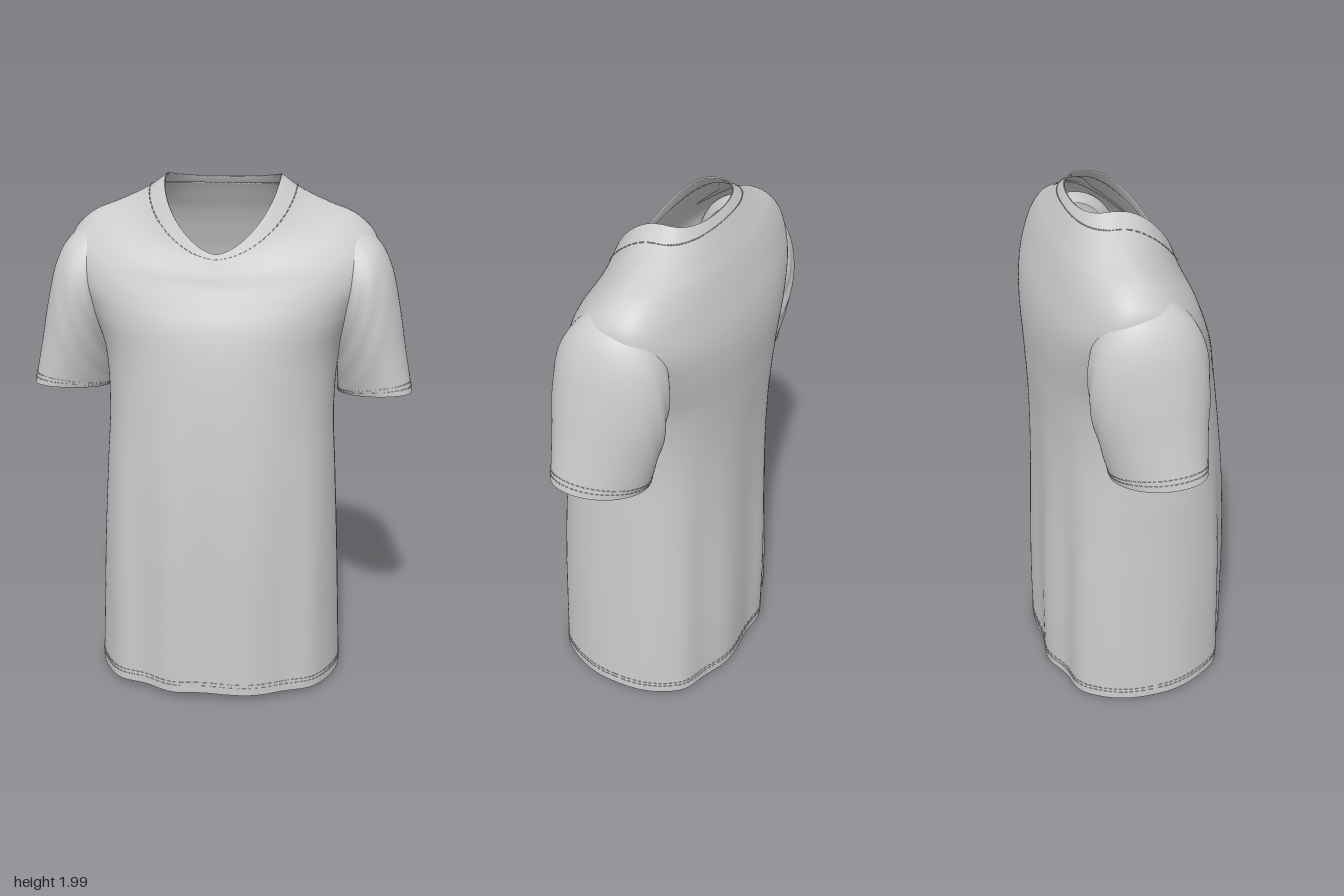
import * as THREE from 'three';
import { mergeGeometries } from 'three/addons/utils/BufferGeometryUtils.js';

const TAU = Math.PI * 2;
const material = new THREE.MeshStandardMaterial({ color: 0xcccccc, roughness: 0.9, side: THREE.DoubleSide });

// Smooth interpolation through a list of cross-section rows, t = 0..1
function sampleRows(rows, t) {
  const f = THREE.MathUtils.clamp(t, 0, 1) * (rows.length - 1);
  const i = Math.min(Math.floor(f), rows.length - 2), k = f - i;
  const at = (j) => rows[THREE.MathUtils.clamp(j, 0, rows.length - 1)];
  const [a, b, c, d] = [at(i - 1), at(i), at(i + 1), at(i + 2)];
  return b.map((_, n) => b[n] + 0.5 * k * (c[n] - a[n]
    + k * (2 * a[n] - 5 * b[n] + 4 * c[n] - d[n] + k * (3 * (b[n] - c[n]) + d[n] - a[n]))));
}

// Body rows: half width, side y, front y, back y, front z, back z, side z
const bodyRows = [
  [0.495, 0.015, 0.03, 0.005, 0.385, -0.38, 0],
  [0.485, 0.25, 0.26, 0.25, 0.385, -0.38, 0],
  [0.472, 0.55, 0.55, 0.55, 0.383, -0.372, 0],
  [0.456, 0.85, 0.85, 0.85, 0.37, -0.362, -0.01],
  [0.443, 1.12, 1.12, 1.12, 0.345, -0.36, -0.03],
  [0.462, 1.35, 1.33, 1.35, 0.317, -0.367, -0.06],
  [0.53, 1.53, 1.46, 1.52, 0.288, -0.37, -0.075],
  [0.588, 1.665, 1.55, 1.64, 0.252, -0.354, -0.08],
  [0.585, 1.77, 1.61, 1.75, 0.226, -0.318, -0.085],
  [0.51, 1.848, 1.65, 1.83, 0.212, -0.285, -0.09],
  [0.40, 1.894, 1.68, 1.885, 0.2, -0.255, -0.095],
  [0.30, 1.94, 1.705, 1.935, 0.19, -0.226, -0.1],
  [0.22, 1.995, 1.73, 1.975, 0.18, -0.2, -0.1],
];

// Body surface: u runs round from the front, v from hem to neckline
function bodySurface(u, v) {
  const [w, ys, yf, yb, zf, zb, zs] = sampleRows(bodyRows, v);
  const s = Math.sin(u), c = Math.cos(u), front = c > 0, depth = Math.abs(c);
  // the front of the neck opening is flatter and narrower
  const neck = front ? THREE.MathUtils.smoothstep(v, 0.82, 1) : 0;
  const x = w * Math.sign(s) * Math.abs(s) ** (0.88 + 0.35 * neck);
  const y = ys + ((front ? yf : yb) - ys) * depth ** 1.3;
  let z = zs + ((front ? zf : zb) - zs) * depth ** (front ? 0.9 - 0.28 * neck : 0.72);
  // hanging folds, deepest at the hem
  const hang = THREE.MathUtils.smoothstep(1.45 - y, 0, 1.1);
  const fold = -0.009 * Math.cos(x * TAU / 0.26) + 0.004 * Math.sin(x * 31 + 1);
  z += Math.sign(c) * hang * fold * Math.min(1, depth * 1.6);
  return new THREE.Vector3(x, y, z);
}

// Sleeve rows: outer x, outer y, inner x, inner y, front z, back z
const sleeveRows = [
  [0.40, 1.80, 0.41, 1.46, 0.05, -0.22],
  [0.50, 1.81, 0.425, 1.43, 0.1, -0.25],
  [0.592, 1.758, 0.435, 1.39, 0.13, -0.275],
  [0.648, 1.66, 0.442, 1.34, 0.135, -0.278],
  [0.684, 1.51, 0.447, 1.28, 0.13, -0.265],
  [0.712, 1.35, 0.452, 1.21, 0.115, -0.235],
  [0.743, 1.185, 0.455, 1.155, 0.1, -0.205],
];

// Sleeve surface: u runs round from the outside, v from shoulder to cuff
const sleeveSurface = (side) => (u, v) => {
  const [ox, oy, ix, iy, zf, zb] = sampleRows(sleeveRows, v);
  const c = Math.cos(u), s = Math.sin(u) * side;
  // diagonal creases fanning out of the armpit
  const crease = 1 + 0.025 * Math.sin(v * 26 + c * 7) * Math.sin(Math.PI * v) * (0.5 - 0.5 * c);
  const x = (ox + ix) / 2 + (ox - ix) / 2 * c;
  const y = (oy + iy) / 2 + (oy - iy) / 2 * c + 0.014 * v * s;
  // the sleeve twists forward towards the cuff
  const z = (zf + zb) / 2 + 0.05 * v * v * c + (zf - zb) / 2 * Math.sign(s) * Math.abs(s) ** 0.95 * crease;
  return new THREE.Vector3(side * x, y, z);
};

// Point moved off a surface along its normal
function offsetPoint(surface, u, v, off) {
  const p = surface(u, v), h = 0.004;
  if (!off) return p;
  const du = surface(u + h, v).sub(surface(u - h, v));
  const dv = surface(u, Math.min(1, v + h)).sub(surface(u, Math.max(0, v - h)));
  return p.addScaledVector(du.cross(dv).normalize(), off);
}

// Closed rings through a list of [v, offset] pairs
function loft(name, surface, rings, segments = 160) {
  const pos = [], index = [];
  rings.forEach(([v, off], j) => {
    for (let i = 0; i < segments; i++) {
      pos.push(...offsetPoint(surface, i / segments * TAU, v, off).toArray());
      if (j === 0) continue;
      const n = (i + 1) % segments, a = (j - 1) * segments, b = j * segments;
      index.push(a + i, a + n, b + n, a + i, b + n, b + i);
    }
  });
  const g = new THREE.BufferGeometry();
  g.setAttribute('position', new THREE.Float32BufferAttribute(pos, 3));
  g.setIndex(index);
  g.computeVertexNormals();
  const mesh = new THREE.Mesh(g, material);
  mesh.name = name;
  return mesh;
}

// Row of small thread dashes lying on a surface
function stitches(name, surface, vs, count) {
  const dashes = [], holder = new THREE.Object3D();
  for (const v of vs) for (let i = 0; i < count; i++) {
    const a = offsetPoint(surface, i / count * TAU, v, 0.001);
    const b = offsetPoint(surface, (i + 0.6) / count * TAU, v, 0.001);
    holder.position.copy(a).lerp(b, 0.5);
    holder.lookAt(b);
    holder.updateMatrix();
    dashes.push(new THREE.BoxGeometry(0.003, 0.003, a.distanceTo(b)).applyMatrix4(holder.matrix));
  }
  const mesh = new THREE.Mesh(mergeGeometries(dashes), material);
  mesh.name = name;
  return mesh;
}

const steps = (n) => Array.from({ length: n + 1 }, (_, i) => [i / n, 0]);

export function createModel() {
  const shirt = new THREE.Group();
  shirt.name = 'tShirt';

  // Body with turned hem and neckband facing
  shirt.add(loft('body', bodySurface, steps(120)));
  shirt.add(loft('hemFacing', bodySurface, [[0, 0], [0, -0.006], [0.023, -0.006]]));
  shirt.add(loft('neckFacing', bodySurface, [[1, 0], [1, -0.006], [0.945, -0.006]]));
  shirt.add(stitches('hemStitching', bodySurface, [0.017, 0.023], 120));
  shirt.add(stitches('neckStitching', bodySurface, [0.935], 90));

  // Sleeves with turned cuffs
  for (const side of [1, -1]) {
    const sleeve = new THREE.Group(), surface = sleeveSurface(side);
    sleeve.name = side > 0 ? 'leftSleeve' : 'rightSleeve';
    sleeve.add(loft('sleeve', surface, steps(60), 96));
    sleeve.add(loft('cuffFacing', surface, [[1, 0], [1, -0.006], [0.95, -0.006]], 96));
    sleeve.add(stitches('cuffStitching', surface, [0.945, 0.965], 60));
    shirt.add(sleeve);
  }
  return shirt;
}
